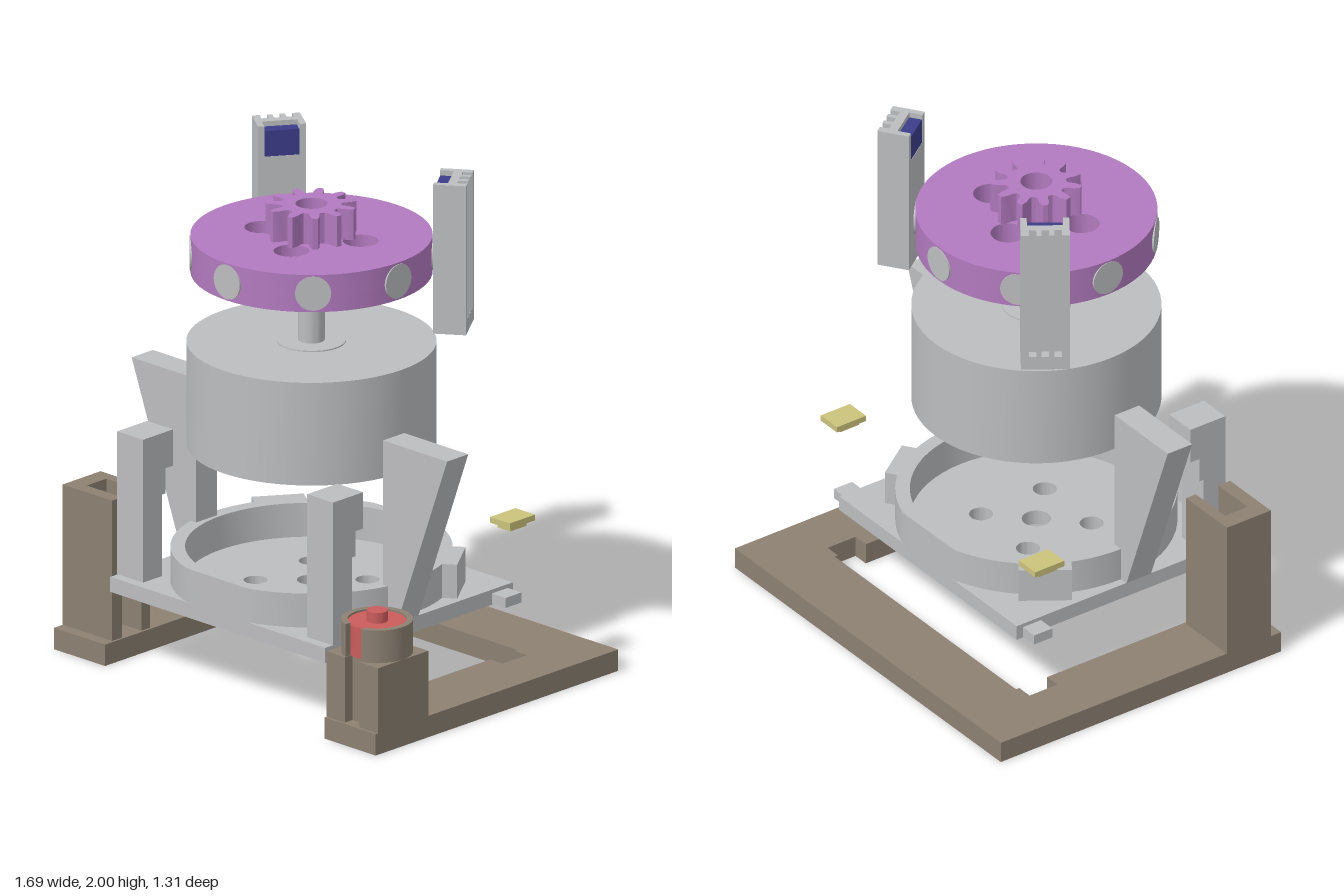
import * as THREE from 'three';
import { toCreasedNormals } from 'three/addons/utils/BufferGeometryUtils.js';

const material = (name, color) => {
  const m = new THREE.MeshStandardMaterial({ color });
  m.name = name;
  return m;
};
const CZ = 0.132; // z of the main axis

export function createModel() {
  const model = new THREE.Group();
  model.name = 'motorAssembly';
  const grey = material('grey', 0xbcbdbf);
  const purple = material('purple', 0xb27abf);
  const brown = material('brown', 0x8c8072);
  const red = material('red', 0xcc5c5c);
  const blue = material('blue', 0x3c3c8a);
  const tan = material('tan', 0xcbc27b);

  const add = (name, geometry, mat, parent = model) => {
    const mesh = new THREE.Mesh(toCreasedNormals(geometry, 0.5), mat);
    mesh.name = name;
    parent.add(mesh);
    return mesh;
  };
  const poly = (pts) => new THREE.Shape(pts.map(([a, b]) => new THREE.Vector2(a, b)));
  const circle = (r, x = 0, y = 0) => new THREE.Path().absarc(x, y, r, 0, Math.PI * 2, true);
  // extrude an (x, z) outline between two heights
  const slab = (shape, y0, y1) => {
    const g = new THREE.ExtrudeGeometry(shape, { depth: y1 - y0, bevelEnabled: false, curveSegments: 32 });
    return g.rotateX(Math.PI / 2).translate(0, y1, 0);
  };
  const box = (x0, x1, y0, y1, z0, z1) => new THREE.BoxGeometry(x1 - x0, y1 - y0, z1 - z0)
    .translate((x0 + x1) / 2, (y0 + y1) / 2, (z0 + z1) / 2);
  const drum = (r, y0, y1, x = 0, z = CZ, n = 64) => new THREE.CylinderGeometry(r, r, y1 - y0, n)
    .translate(x, (y0 + y1) / 2, z);

  // U-shaped base with a notch inside each arm
  const half = [[0.575, 0.653], [0.575, -0.24], [0.64, -0.24], [0.64, -0.37], [0.575, -0.37], [0.575, -0.385]];
  add('baseFrame', slab(poly([
    [-0.843, -0.653], [0.843, -0.653], [0.843, 0.653], ...half,
    ...half.map(([x, z]) => [-x, z]).reverse(), [-0.843, 0.653],
  ]), 0, 0.085), brown);

  // Slotted tower, open toward the middle
  add('slottedTower', slab(poly([
    [-0.843, 0.4], [-0.585, 0.4], [-0.585, 0.445], [-0.77, 0.445],
    [-0.77, 0.55], [-0.585, 0.55], [-0.585, 0.605], [-0.843, 0.605],
  ]), 0.085, 0.645), brown);

  // Small motor and its holder
  const MX = 0.707, MZ = 0.505;
  add('motorBlock', slab(poly([
    [0.572, 0.37], [0.843, 0.37], [0.843, 0.64], [0.745, 0.64],
    [0.745, 0.6], [0.67, 0.6], [0.67, 0.64], [0.572, 0.64],
  ]), 0.085, 0.345), brown);
  const cup = new THREE.Shape();
  const a = Math.PI / 2 + 0.3, b = Math.PI * 2.5 - 0.3;
  cup.absarc(MX, MZ, 0.135, a, b, false);
  cup.absarc(MX, MZ, 0.111, b - 0.06, a + 0.06, true);
  add('motorCup', slab(cup, 0.345, 0.475), brown);
  add('motorBody', drum(0.11, 0.345, 0.468, MX, MZ, 40), red);
  add('motorShaft', drum(0.04, 0.468, 0.51, MX, MZ, 24), red);

  // Tray floor, tabs and clipped rim
  const Z0 = -0.373, Z1 = 0.637;
  const floor = poly([[-0.563, Z0], [0.563, Z0], [0.563, Z1], [-0.563, Z1]]);
  floor.holes.push(circle(0.055, 0, CZ));
  for (let i = 0; i < 4; i++) {
    const t = Math.PI / 4 + i * Math.PI / 2;
    floor.holes.push(circle(0.045, 0.21 * Math.cos(t), CZ + 0.21 * Math.sin(t)));
  }
  add('trayFloor', slab(floor, 0.295, 0.355), grey);
  const rimPts = [];
  for (let i = 0; i < 96; i++) {
    const t = i * Math.PI / 48;
    rimPts.push([0.53 * Math.cos(t), Math.min(Z1, Math.max(Z0, CZ + 0.53 * Math.sin(t)))]);
  }
  const rim = poly(rimPts);
  rim.holes.push(circle(0.475, 0, CZ));
  add('trayRim', slab(rim, 0.355, 0.49), grey);

  // Hooked post side outline, as (z, y)
  const postOutline = [[0.597, 0.355], [0.597, 0.925], [0.435, 0.925], [0.435, 0.78],
    [0.477, 0.78], [0.477, 0.68], [0.495, 0.68], [0.495, 0.355]];
  for (const s of [1, -1]) {
    const side = s > 0 ? 'left' : 'right';
    const span = (x0, x1) => (s > 0 ? [x0, x1] : [-x1, -x0]);
    add(side + 'Tab', box(...span(0.563, 0.635), 0.3, 0.34, -0.345, -0.26), grey);

    const post = new THREE.ExtrudeGeometry(poly(postOutline), { depth: 0.135, bevelEnabled: false });
    post.rotateY(-Math.PI / 2).translate(s > 0 ? 0.565 : -0.43, 0, 0);
    add(side + 'Post', post, grey);

    // Tapered wing
    const wing = poly([[0.49, 0.355], [0.565, 0.355], [0.826, 1.065], [0.49, 1.065]].map(([x, y]) => [s * x, y]));
    add(side + 'Wing', new THREE.ExtrudeGeometry(wing, { depth: 0.114, bevelEnabled: false })
      .translate(0, 0, 0.137), grey);

    // Clip with a hollow underside
    add(side + 'ClipTop', box(...span(0.577, 0.68), 0.632, 0.655, -0.373, -0.237), tan);
    const [c0, c1] = span(0.595, 0.662);
    const lip = poly([[c0, -0.345], [c1, -0.345], [c1, -0.258], [c0, -0.258]]);
    lip.holes.push(poly([[c0 + 0.015, -0.33], [c0 + 0.015, -0.273], [c1 - 0.015, -0.273], [c1 - 0.015, -0.33]]));
    add(side + 'ClipLip', slab(lip, 0.613, 0.632), tan);

    // Sensor column: local +x points away from the axis
    const column = new THREE.Group();
    column.name = side + 'SensorColumn';
    column.position.set(s * 0.457, 0, -0.163);
    const tilt = 35 * Math.PI / 180;
    column.rotation.y = s > 0 ? tilt : Math.PI - tilt;
    model.add(column);
    const R = 0.0625, T = 0.092, D = 0.025;
    const back = [[R, -T]];
    for (const t of [-0.048, 0, 0.048]) {
      back.push([R, t - 0.014], [D, t - 0.014], [D, t + 0.014], [R, t + 0.014]);
    }
    back.push([R, T], [-R, T]);
    add('columnFoot', box(-R, R, 1.405, 1.46, -T, T), grey, column);
    add('columnBody', slab(poly([...back, [-R, -T]]), 1.46, 1.878), grey, column);
    add('columnHead', slab(poly([...back, [-R, 0.068], [-0.01, 0.068], [-0.01, -0.068], [-R, -0.068], [-R, -T]]),
      1.878, 2), grey, column);
    add('sensorChip', box(-0.061, -0.01, 1.878, 1.98, -0.066, 0.066), blue, column);
    add('columnMount', box(-0.06, 0.03, 0.355, 0.49, -0.1, 0.1), grey, column);
  }

  // Main drum and shaft
  add('mainDrum', drum(0.47, 0.9, 1.31), grey);
  add('drumBoss', drum(0.13, 1.31, 1.315), grey);
  add('mainShaft', drum(0.05, 1.315, 1.6, 0, CZ, 32), grey);

  // Rotor disc with four counterbored holes
  const disc = (y0, y1, holeR) => {
    const shape = new THREE.Shape().absarc(0, CZ, 0.455, 0, Math.PI * 2, false);
    shape.holes.push(circle(0.06, 0, CZ));
    for (let i = 0; i < 4; i++) {
      const t = -0.385 + i * Math.PI / 2;
      shape.holes.push(circle(holeR, 0.2 * Math.cos(t), CZ + 0.2 * Math.sin(t)));
    }
    return slab(shape, y0, y1);
  };
  add('rotorLower', disc(1.587, 1.65, 0.036), purple);
  add('rotorUpper', disc(1.65, 1.735, 0.067), purple);

  // Round magnets set into the rim
  for (let i = 0; i < 8; i++) {
    const magnet = new THREE.CylinderGeometry(0.068, 0.068, 0.03, 32).rotateX(Math.PI / 2)
      .translate(0, 0, 0.442).rotateY(i * Math.PI / 4).translate(0, 1.661, CZ);
    add('magnet', magnet, grey);
  }

  // Gear on top of the rotor
  const teeth = 11, gearPts = [];
  for (let i = 0; i < teeth; i++) {
    const mid = -Math.PI / 2 + i * 2 * Math.PI / teeth;
    for (const [d, r] of [[-0.21, 0.113], [-0.15, 0.125], [-0.12, 0.15], [-0.06, 0.172],
      [0.06, 0.172], [0.12, 0.15], [0.15, 0.125], [0.21, 0.113]]) {
      gearPts.push([r * Math.cos(mid + d), CZ + r * Math.sin(mid + d)]);
    }
  }
  const gear = poly(gearPts);
  gear.holes.push(circle(0.06, 0, CZ));
  add('gear', slab(gear, 1.735, 1.857), purple);

  return model;
}
